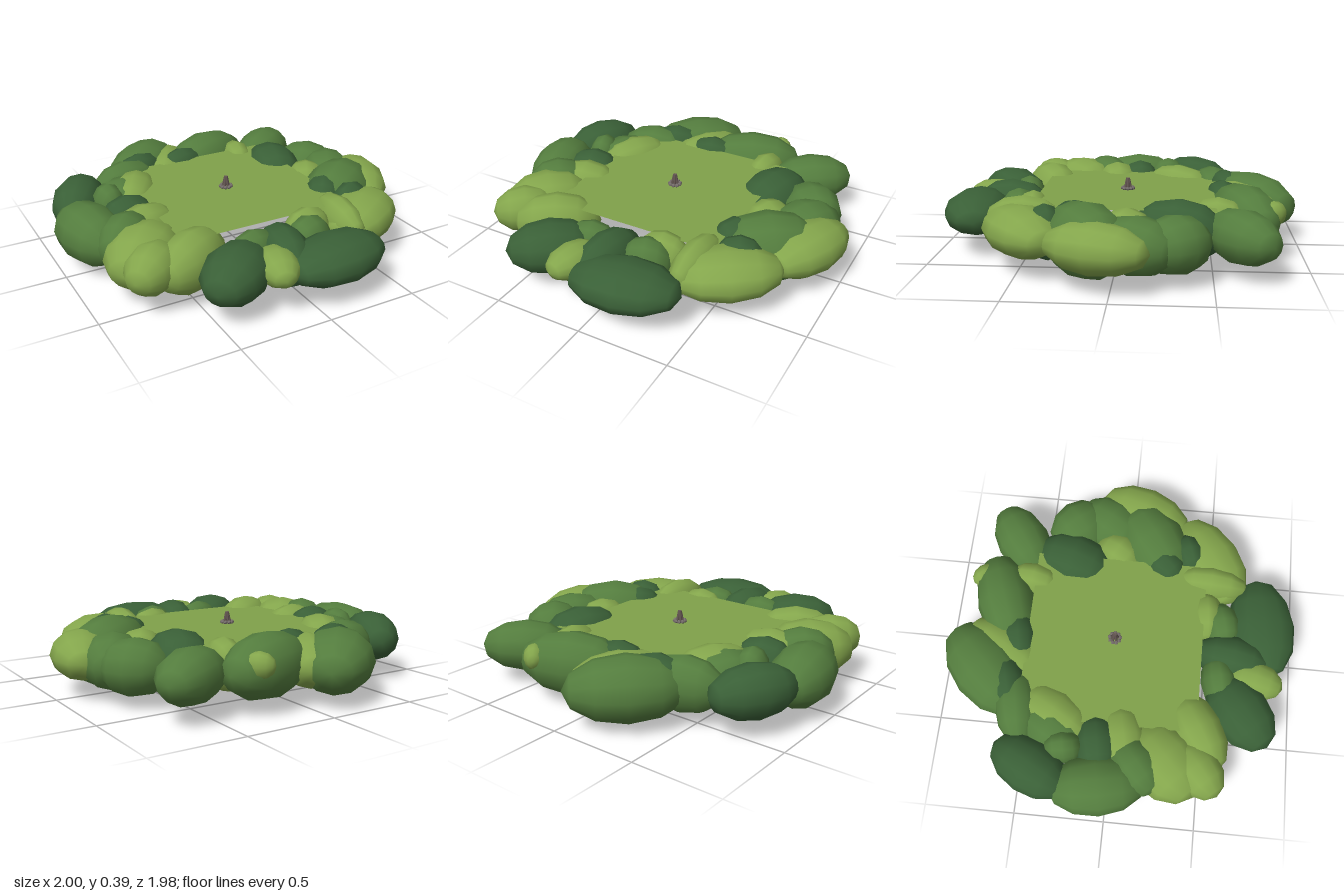
import * as THREE from 'three';

const material = (name, color, side = THREE.FrontSide) => {
  const m = new THREE.MeshStandardMaterial({ color, side });
  m.name = name;
  return m;
};

// Bushes: x, z, long radius, short radius, heading in degrees, centre height, half height
const DARK = [
  [0.46, -0.32, 0.25, 0.18, 74, 0.20, 0.17],
  [0.48, 0.21, 0.15, 0.12, 50, 0.22, 0.14],
  [0.56, 0.355, 0.14, 0.10, 20, 0.21, 0.15],
  [0.15, 0.80, 0.30, 0.19, 8, 0.21, 0.12],
  [-0.05, 0.64, 0.22, 0.13, 80, 0.20, 0.15],
  [-0.36, 0.70, 0.24, 0.17, 40, 0.21, 0.14],
  [-0.77, -0.42, 0.24, 0.15, 62, 0.22, 0.14],
  [-0.61, -0.07, 0.17, 0.13, 10, 0.21, 0.15],
  [-0.05, -0.57, 0.17, 0.11, 10, 0.21, 0.15],
  [-0.32, -0.60, 0.17, 0.11, 15, 0.22, 0.145],
];
const MID = [
  [-0.24, -0.73, 0.32, 0.20, 45, 0.20, 0.17],
  [0.17, -0.68, 0.30, 0.17, 20, 0.215, 0.17],
  [0.575, -0.64, 0.245, 0.155, 35, 0.21, 0.14],
  [0.70, -0.31, 0.19, 0.17, 130, 0.20, 0.15],
  [0.73, -0.12, 0.22, 0.17, 60, 0.20, 0.15],
  [0.63, 0.14, 0.29, 0.20, 35, 0.195, 0.195],
  [-0.19, 0.57, 0.15, 0.10, 10, 0.20, 0.14],
  [0.14, 0.57, 0.14, 0.11, 15, 0.20, 0.14],
  [-0.83, -0.05, 0.27, 0.17, 100, 0.20, 0.16],
  [-0.44, -0.53, 0.22, 0.13, 10, 0.21, 0.15],
  [-0.65, -0.25, 0.11, 0.09, 100, 0.24, 0.13],
  [-0.71, 0.15, 0.18, 0.14, 40, 0.22, 0.15],
  [-0.54, -0.32, 0.21, 0.16, 60, 0.19, 0.16],
];
const LIGHT = [
  [0.82, 0.07, 0.28, 0.17, 70, 0.21, 0.13],
  [0.545, 0.475, 0.30, 0.19, 35, 0.21, 0.13],
  [0.39, 0.49, 0.22, 0.10, 86, 0.22, 0.14],
  [0.54, -0.06, 0.15, 0.13, 60, 0.20, 0.14],
  [0.19, 0.48, 0.15, 0.10, 5, 0.20, 0.14],
  [-0.17, 0.77, 0.16, 0.11, 75, 0.23, 0.09],
  [-0.49, 0.47, 0.24, 0.15, 30, 0.20, 0.16],
  [-0.70, 0.48, 0.18, 0.135, 40, 0.22, 0.13],
  [-0.67, 0.30, 0.25, 0.20, 45, 0.20, 0.16],
  [-0.57, 0.07, 0.21, 0.14, 12, 0.20, 0.155],
  [-0.47, -0.32, 0.24, 0.15, 60, 0.21, 0.15],
  [-0.12, -0.64, 0.27, 0.15, 60, 0.20, 0.14],
  [0.32, -0.53, 0.16, 0.10, 80, 0.21, 0.14],
  [0.31, -0.82, 0.08, 0.06, 130, 0.26, 0.07],
];

export function createModel() {
  const model = new THREE.Group();
  model.name = 'clearing';

  const add = (parent, name, geometry, mat, x, y, z) => {
    const mesh = new THREE.Mesh(geometry, mat);
    mesh.name = name;
    mesh.position.set(x, y, z);
    parent.add(mesh);
    return mesh;
  };

  // Ring of coarse, smooth bushes with the poles along their length
  const bushShape = new THREE.SphereGeometry(1, 12, 6).rotateZ(-Math.PI / 2);
  const shades = [
    ['darkBush', DARK, material('dark leaves', 0x3a6037)],
    ['midBush', MID, material('mid leaves', 0x547d3e)],
    ['lightBush', LIGHT, material('light leaves', 0x84a64c)],
  ];
  for (const [name, rows, mat] of shades) {
    for (const [x, z, long, short, heading, y, half] of rows) {
      const bush = add(model, name, bushShape, mat, x, y, z);
      bush.scale.set(long, half, short);
      bush.rotation.y = THREE.MathUtils.degToRad(heading);
    }
  }

  // Flat grass sheet
  const grass = material('grass', 0x80a14a, THREE.DoubleSide);
  const sheet = new THREE.PlaneGeometry(0.98, 0.98).rotateX(-Math.PI / 2);
  add(model, 'ground', sheet, grass, -0.03, 0.305, -0.03);

  // Small campfire: ring of stones around upright logs
  const fire = new THREE.Group();
  fire.name = 'campfire';
  fire.position.set(-0.025, 0.305, -0.03);
  model.add(fire);
  const stoneMat = material('stone', 0x746c6a);
  const logMat = material('charred wood', 0x655753);
  const stone = new THREE.IcosahedronGeometry(0.0125, 0);
  const log = new THREE.CylinderGeometry(0.008, 0.008, 0.058, 6);
  for (let i = 0; i < 9; i++) {
    const a = (i / 9) * Math.PI * 2;
    add(fire, 'stone', stone, stoneMat, 0.029 * Math.cos(a), 0.007, 0.029 * Math.sin(a));
  }
  for (let i = 0; i < 5; i++) {
    const spoke = new THREE.Group();
    spoke.name = 'logSpoke';
    spoke.rotation.y = (i / 5) * Math.PI * 2;
    fire.add(spoke);
    add(spoke, 'log', log, logMat, 0.01, 0.036, 0).rotation.z = 0.22;
  }
  return model;
}
